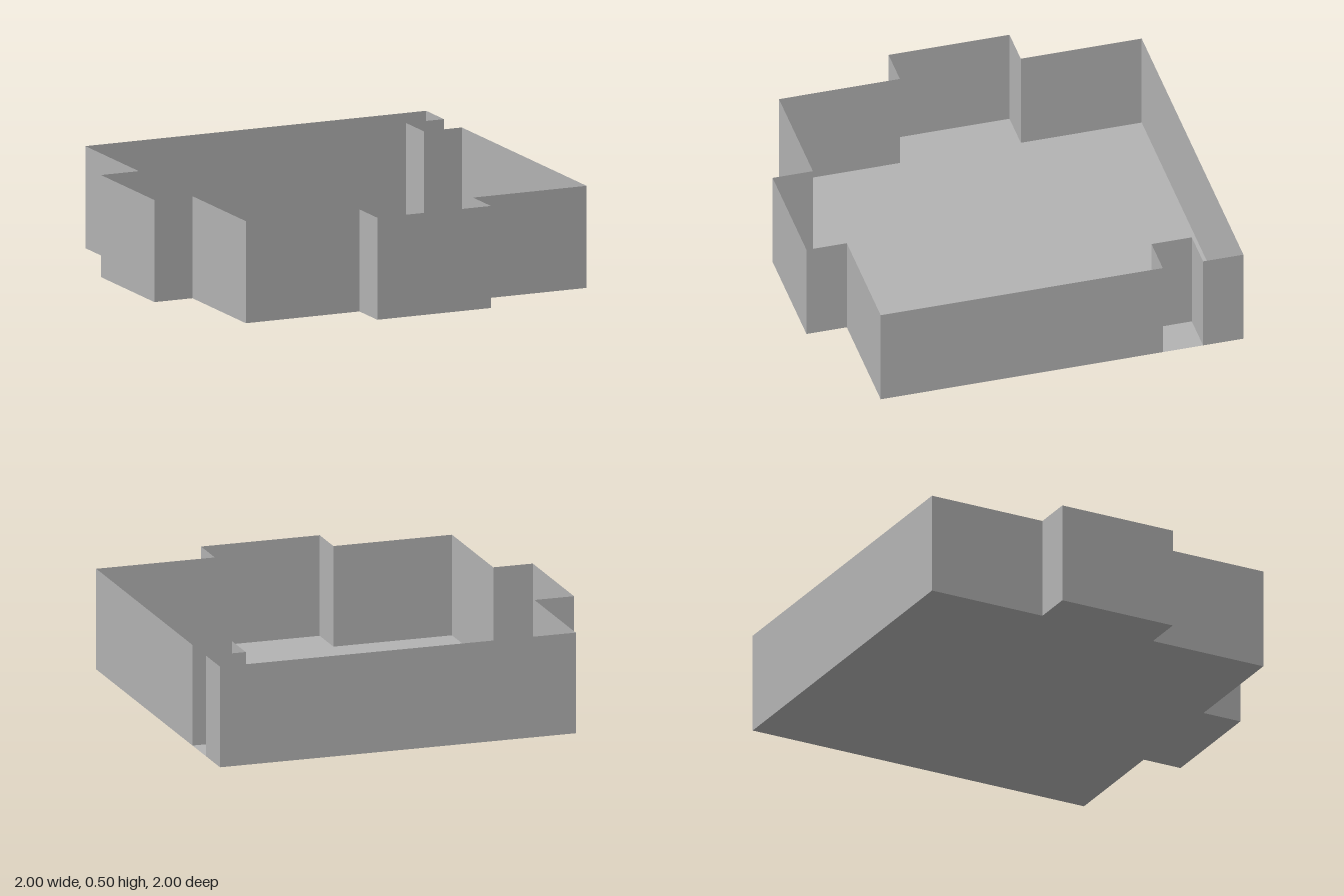
import * as THREE from 'three';

const HEIGHT = 0.5;

// Plan outline as [x, z], running front to right to back to left
const FRONT = [[-0.8, 0.8], [-0.2, 0.8], [-0.2, 1], [0.4, 1], [0.4, 0.8], [1, 0.8]];
const NOTCH = [[1, -0.6], [0.8, -0.6], [0.8, -0.8], [1, -0.8]];
const REST = [[1, -1], [-0.8, -1], [-0.8, -0.4], [-1, -0.4], [-1, 0.2], [-0.8, 0.2]];

export function createModel() {
  const group = new THREE.Group();
  group.name = 'openRoom';
  const grey = new THREE.MeshStandardMaterial({ color: 0xb3b3b3, side: THREE.DoubleSide });
  grey.name = 'plain grey';

  // Floor sheet, which also runs under the notch
  const outline = [...FRONT, ...REST].map(([x, z]) => new THREE.Vector2(x, -z));
  const floor = new THREE.Mesh(new THREE.ShapeGeometry(new THREE.Shape(outline)), grey);
  floor.rotation.x = -Math.PI / 2;
  floor.name = 'floor';
  group.add(floor);

  // Thin wall panels along the outline, stepping in around the notch
  const walls = new THREE.Group();
  walls.name = 'walls';
  const path = [...FRONT, ...NOTCH, ...REST];
  path.forEach(([x, z], i) => {
    const [nx, nz] = path[(i + 1) % path.length];
    const panel = new THREE.Mesh(new THREE.PlaneGeometry(Math.hypot(nx - x, nz - z), HEIGHT), grey);
    panel.position.set((x + nx) / 2, HEIGHT / 2, (z + nz) / 2);
    panel.rotation.y = Math.atan2(z - nz, nx - x);
    panel.name = 'wallPanel';
    walls.add(panel);
  });
  group.add(walls);
  return group;
}
